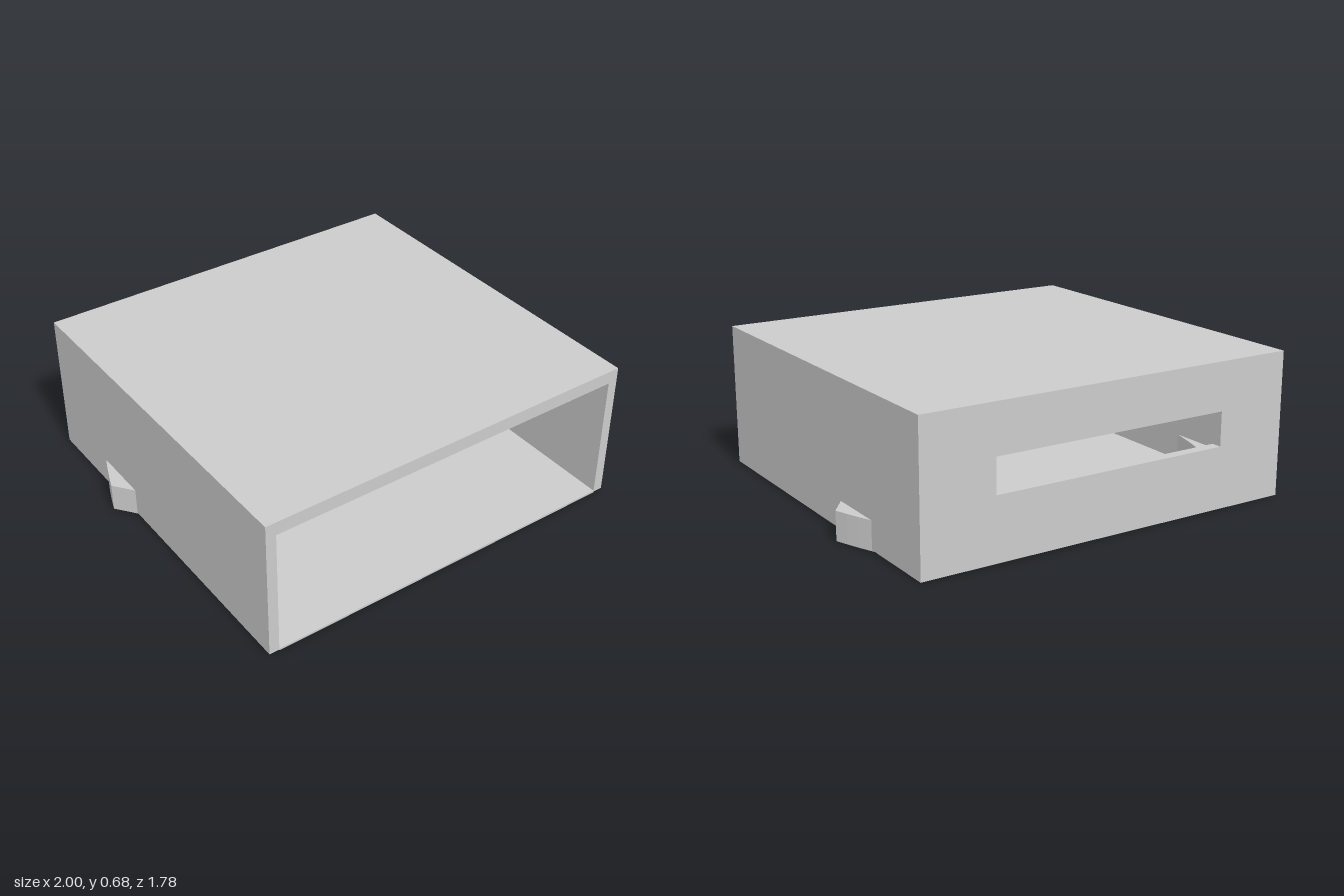
import * as THREE from 'three';

const material = new THREE.MeshStandardMaterial({ color: 0xcccccc, flatShading: true });

function part(name, geometry, parent) {
  const mesh = new THREE.Mesh(geometry, material);
  mesh.name = name;
  parent.add(mesh);
  return mesh;
}

// Closed outline from [x, y] corners
function outline(points) {
  return new THREE.Shape(points.map(([x, y]) => new THREE.Vector2(x, y)));
}

export function createModel() {
  const model = new THREE.Group();
  model.name = 'slottedCase';

  const W = 0.928, H = 0.68, D = 0.89;   // outer half width, height, half depth
  const IN = 0.88, CEIL = 0.617, BACK = 0.05, BASE = 0.005;

  // Side walls and roof: one arch running front to back
  const arch = outline([
    [-W, BASE], [-W, H], [W, H], [W, BASE],
    [IN, BASE], [IN, CEIL], [-IN, CEIL], [-IN, BASE],
  ]);
  const shell = part('shell',
    new THREE.ExtrudeGeometry(arch, { depth: 2 * D - BACK, bevelEnabled: false }), model);
  shell.position.z = -D + BACK;

  // Back wall with its long slot
  const wall = outline([[-W, BASE], [W, BASE], [W, H], [-W, H]]);
  wall.holes.push(outline([[-0.58, 0.295], [-0.58, 0.455], [0.58, 0.455], [0.58, 0.295]]));
  const back = part('backWall',
    new THREE.ExtrudeGeometry(wall, { depth: BACK, bevelEnabled: false }), model);
  back.position.z = -D;

  // Thin floor plate
  const floor = part('floor', new THREE.BoxGeometry(2 * IN, 0.01, 2 * D - BACK), model);
  floor.position.set(0, 0.005, BACK / 2);

  // Spring clip: straight bar along the back, arms curving out through the
  // side walls to pointed catches. Plan outline in (x, -z), extruded upward.
  const clip = new THREE.Shape();
  clip.moveTo(-0.58, 0.86);
  clip.lineTo(0.58, 0.86);
  clip.quadraticCurveTo(0.83, 0.8, 1, 0.31);
  clip.lineTo(0.9, 0.18);
  clip.quadraticCurveTo(0.77, 0.75, 0.58, 0.8);
  clip.lineTo(-0.58, 0.8);
  clip.quadraticCurveTo(-0.77, 0.75, -0.9, 0.17);
  clip.lineTo(-1, 0.3);
  clip.quadraticCurveTo(-0.83, 0.8, -0.58, 0.86);
  const spring = part('springClip',
    new THREE.ExtrudeGeometry(clip, { depth: 0.135, bevelEnabled: false, curveSegments: 16 }), model);
  spring.rotation.x = -Math.PI / 2;

  return model;
}
